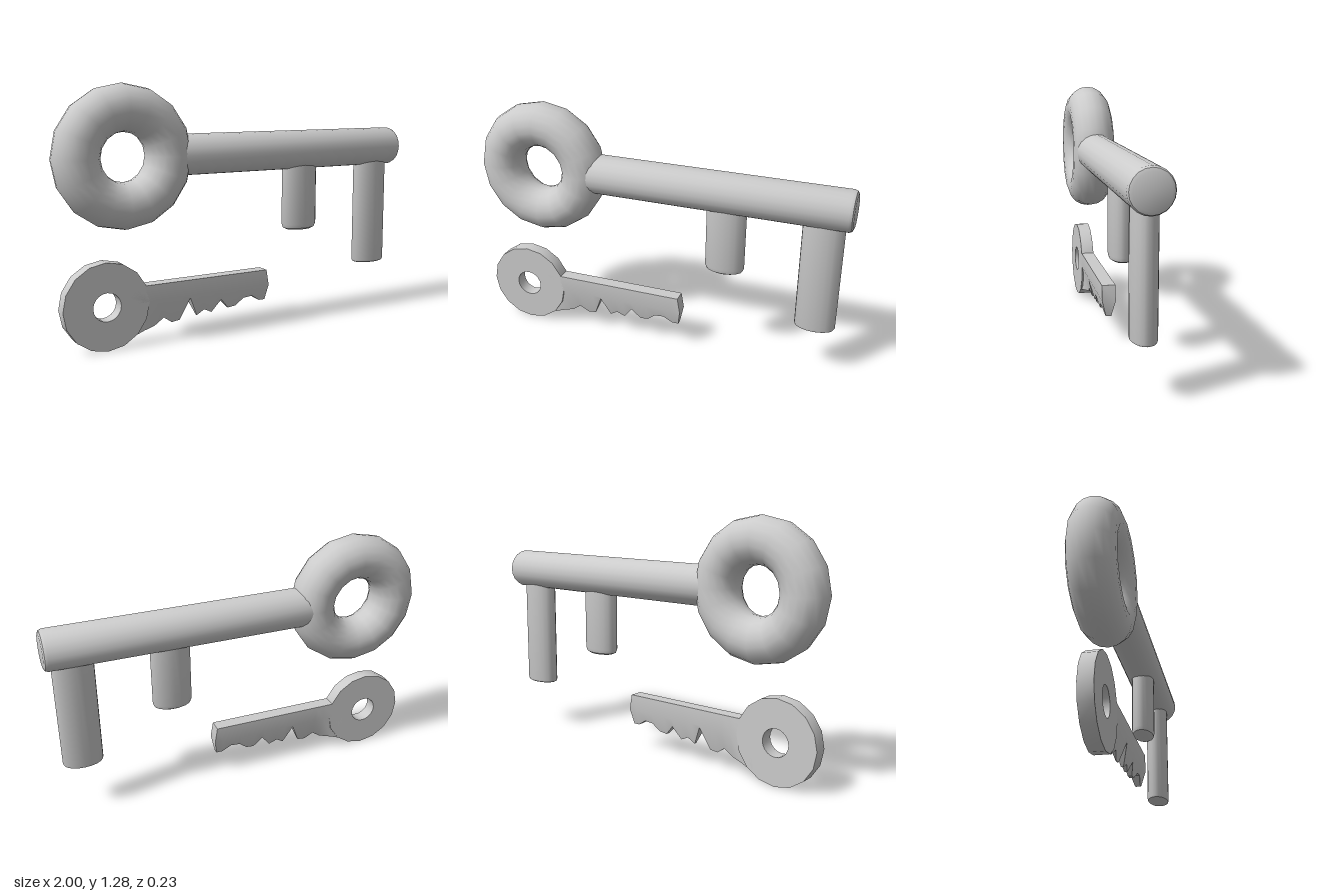
import * as THREE from 'three';
import { toCreasedNormals } from 'three/addons/utils/BufferGeometryUtils.js';

const material = new THREE.MeshStandardMaterial({ color: 0xcccccc });

function add(parent, name, geometry) {
  const mesh = new THREE.Mesh(geometry, material);
  mesh.name = name;
  parent.add(mesh);
  return mesh;
}

// Round bar from y = 0 up to length, with a bevel at the top end
function bar(radius, length, bevel) {
  const profile = [
    [0, 0], [radius, 0], [radius, length - bevel],
    [radius - bevel * 0.3, length - bevel * 0.3], [radius - bevel, length], [0, length],
  ].map(([x, y]) => new THREE.Vector2(x, y));
  return toCreasedNormals(new THREE.LatheGeometry(profile, 20), 0.6);
}

// Flat round head with a hole
function flatBow(radius, hole, z0, z1) {
  const shape = new THREE.Shape();
  for (let i = 0; i < 16; i++) {
    const a = (i / 16) * Math.PI * 2;
    shape[i ? 'lineTo' : 'moveTo'](radius * Math.cos(a), radius * Math.sin(a));
  }
  shape.closePath();
  shape.holes.push(new THREE.Path().absarc(0, 0, hole, 0, Math.PI * 2, true));
  const geo = new THREE.ExtrudeGeometry(shape, { depth: z1 - z0, bevelEnabled: false, curveSegments: 10 });
  geo.translate(0, 0, z0);
  return toCreasedNormals(geo, 0.6);
}

// Blade lofted along x: square back on top, ground to a wedge along the teeth
function toothedBlade(zMid, half) {
  const teeth = [
    [-0.64, 0.055], [-0.57, 0.075], [-0.505, 0.085], [-0.457, 0.123], [-0.41, 0.09], [-0.366, 0.096],
    [-0.318, 0.21], [-0.27, 0.107], [-0.23, 0.134], [-0.185, 0.112], [-0.136, 0.176],
    [-0.088, 0.123], [-0.045, 0.128], [0, 0.166], [0.05, 0.171], [0.1, 0.139], [0.134, 0.139],
  ];
  const last = teeth.length - 1;
  const sections = teeth.map(([x, y], i) => {
    const wedge = half * THREE.MathUtils.clamp((y - 0.085) / 0.135, 0.03, 1);
    const w = i === 0 ? half : i === 1 ? half * 0.6 : wedge;
    const xm = i === last ? 0.148 : x;
    return [
      [x, 0.305, half], [xm, 0.222, half], [x, y, w],
      [x, y, -w], [xm, 0.222, -half], [x, 0.305, -half],
    ].map(([px, py, pz]) => [px, py, zMid + pz]);
  });
  const pos = [];
  const quad = (a, b, c, d) => pos.push(...a, ...b, ...c, ...a, ...c, ...d);
  for (let i = 0; i < last; i++) {
    for (let j = 0; j < 6; j++) {
      const k = (j + 1) % 6;
      quad(sections[i][j], sections[i][k], sections[i + 1][k], sections[i + 1][j]);
    }
  }
  // end caps
  const s = sections[0], e = sections[last];
  quad(s[0], s[5], s[4], s[1]);
  quad(s[1], s[4], s[3], s[2]);
  quad(e[0], e[1], e[4], e[5]);
  quad(e[1], e[2], e[3], e[4]);
  const geo = new THREE.BufferGeometry();
  geo.setAttribute('position', new THREE.Float32BufferAttribute(pos, 3));
  return toCreasedNormals(geo, 0.45);
}

export function createModel() {
  const model = new THREE.Group();
  model.name = 'keys';

  // Large round key
  const large = new THREE.Group();
  large.name = 'largeKey';
  model.add(large);
  add(large, 'ringBow', new THREE.TorusGeometry(0.237, 0.116, 18, 16)).position.set(-0.647, 0.937, 0);

  const shaft = add(large, 'shaft', bar(0.104, 1.43, 0.022));
  shaft.rotation.z = -Math.PI / 2;
  shaft.position.set(-0.43, 0.936, -0.002);

  // Oval prongs hanging below the shaft
  for (const [name, x, bottom, bevel] of [['innerProng', 0.372, 0.502, 0.03], ['outerProng', 0.858, 0.27, 0.014]]) {
    const prong = add(large, name, bar(0.104, 0.9 - bottom, bevel));
    prong.rotation.x = Math.PI;
    prong.scale.z = 0.59;
    prong.position.set(x, 0.9, 0);
  }

  // Small flat key
  const small = new THREE.Group();
  small.name = 'smallKey';
  model.add(small);
  add(small, 'flatBow', flatBow(0.219, 0.071, -0.02, 0.051)).position.set(-0.763, 0.224, 0);
  add(small, 'toothedBlade', toothedBlade(0.0155, 0.0355));

  return model;
}
